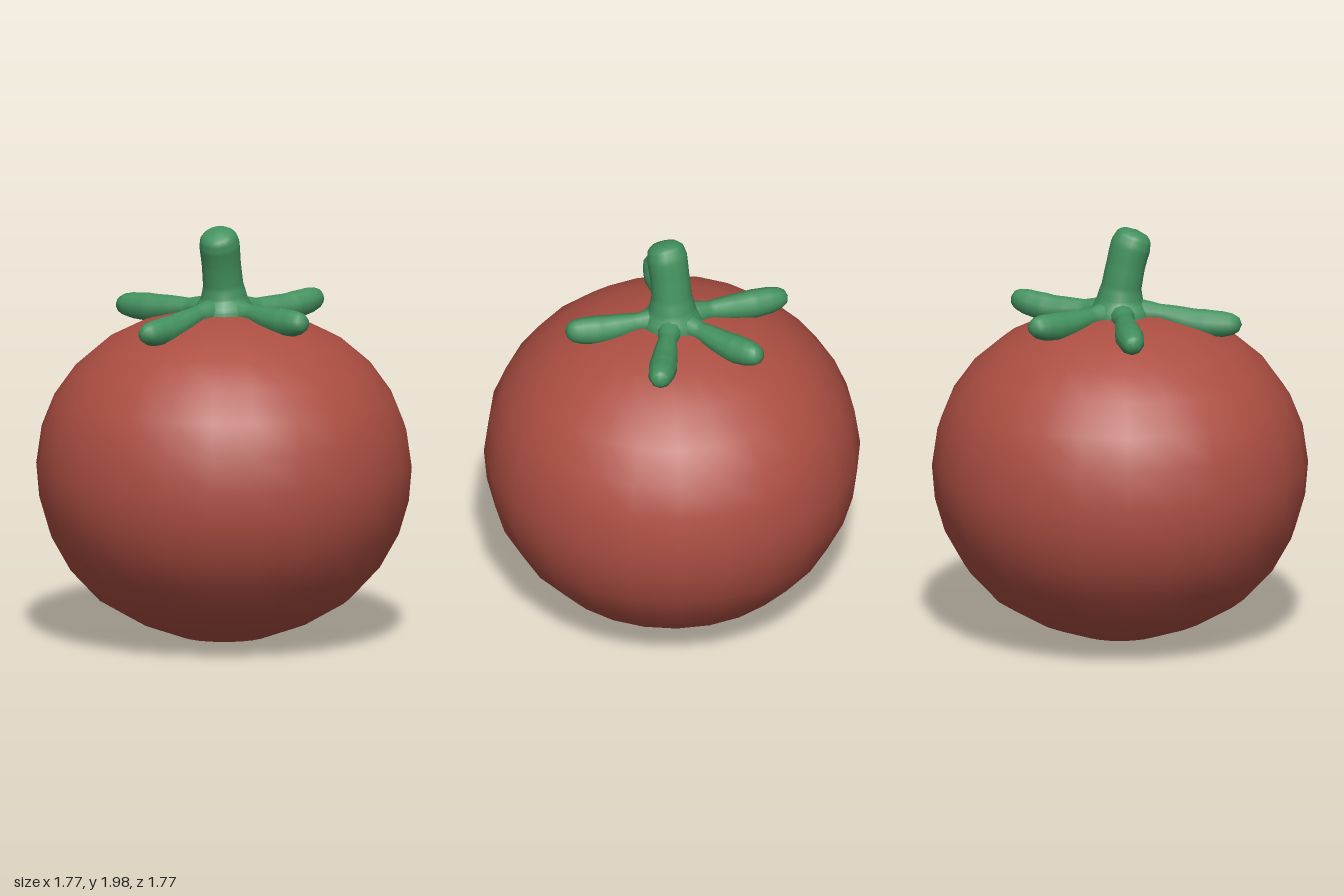
import * as THREE from 'three';
import { mergeVertices } from 'three/addons/utils/BufferGeometryUtils.js';

const v = (x, y, z) => new THREE.Vector3(x, y, z);

// Smooth tube along a curve; radii is a list of [position 0..1, radius]
function taperedTube(points, radii, sides, steps) {
  const curve = new THREE.CatmullRomCurve3(points);
  const geo = new THREE.TubeGeometry(curve, steps, 1, sides);
  const pos = geo.attributes.position;
  const p = v(0, 0, 0);
  for (let i = 0; i <= steps; i++) {
    const u = i / steps;
    let k = 1;
    while (k < radii.length - 1 && radii[k][0] < u) k++;
    const [u0, r0] = radii[k - 1], [u1, r1] = radii[k];
    const r = THREE.MathUtils.lerp(r0, r1, (u - u0) / (u1 - u0));
    const c = curve.getPointAt(u);
    for (let j = 0; j <= sides; j++) {
      const n = i * (sides + 1) + j;
      p.fromBufferAttribute(pos, n).sub(c).multiplyScalar(r).add(c);
      pos.setXYZ(n, p.x, p.y, p.z);
    }
  }
  // Weld the seam so the shading runs around smoothly
  geo.deleteAttribute('uv');
  geo.deleteAttribute('normal');
  const welded = mergeVertices(geo, 1e-5);
  welded.computeVertexNormals();
  return welded;
}

export function createModel() {
  const group = new THREE.Group();
  const red = new THREE.MeshStandardMaterial({ color: 0xac4e42 });
  red.name = 'tomato red';
  const green = new THREE.MeshStandardMaterial({ color: 0x43915f });
  green.name = 'stem green';
  const add = (name, geo, mat) => {
    const mesh = new THREE.Mesh(geo, mat);
    mesh.name = name;
    group.add(mesh);
  };

  // Fruit, a slightly flattened ball
  const profile = [
    [0, 0.005], [0.21, 0.03], [0.405, 0.1], [0.595, 0.21], [0.735, 0.36],
    [0.825, 0.52], [0.872, 0.68], [0.886, 0.84], [0.86, 1.02], [0.8, 1.17],
    [0.7, 1.31], [0.56, 1.43], [0.39, 1.515], [0.2, 1.565], [0, 1.58],
  ].map(([x, y]) => new THREE.Vector2(x, y));
  add('fruit', new THREE.LatheGeometry(profile, 24), red);

  // Stem, flared at the foot and leaning at the tip
  add('stem', taperedTube(
    [v(0, 1.54, 0), v(0, 1.64, 0), v(-0.015, 1.76, 0.01), v(-0.038, 1.89, 0.032), v(-0.062, 1.972, 0.055)],
    [[0, 0.15], [0.12, 0.14], [0.22, 0.112], [0.36, 0.097], [0.6, 0.094], [0.82, 0.097], [0.92, 0.086], [0.97, 0.065], [1, 0]],
    14, 36), green);

  // Five sepals: tip x, tip z, tip height, middle height
  const sepals = [
    [0.545, -0.062, 1.6, 1.565],
    [0.225, -0.485, 1.585, 1.565],
    [-0.325, -0.485, 1.56, 1.56],
    [-0.535, 0.215, 1.53, 1.535],
    [0.205, 0.47, 1.57, 1.56],
  ];
  for (const [x, z, tipY, midY] of sepals) {
    add('sepal', taperedTube(
      [v(0, 1.575, 0), v(x * 0.3, 1.577, z * 0.3), v(x * 0.65, midY, z * 0.65), v(x, tipY, z)],
      [[0, 0.06], [0.2, 0.06], [0.32, 0.045], [0.5, 0.059], [0.7, 0.068], [0.85, 0.062], [0.93, 0.051], [0.975, 0.034], [1, 0]],
      10, 40), green);
  }
  return group;
}
